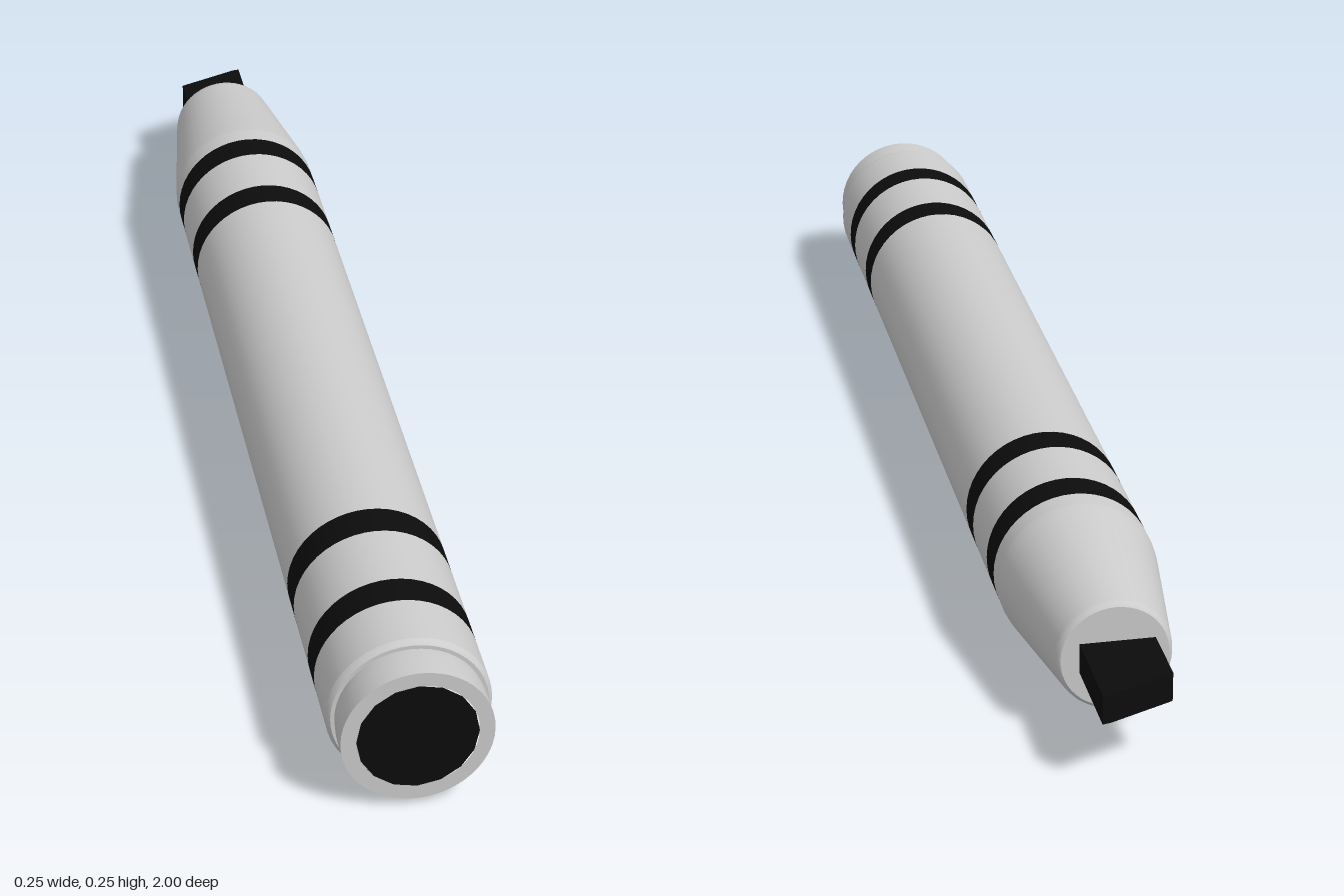
import * as THREE from 'three';

const AXIS_Y = 0.124, R = 0.123, SIDES = 48;
const grey = new THREE.MeshStandardMaterial({ color: 0xcccccc });
const black = new THREE.MeshStandardMaterial({ color: 0x0c0c0c });

export function createModel() {
  const marker = new THREE.Group();
  marker.name = 'marker';

  // Turned part along z; profile pairs are [radius, z] with z increasing.
  const turned = (name, material, profile) => {
    const points = profile.map(([r, z]) => new THREE.Vector2(r, z));
    const geometry = new THREE.LatheGeometry(points, SIDES).rotateX(Math.PI / 2);
    const mesh = new THREE.Mesh(geometry, material);
    mesh.name = name;
    mesh.position.y = AXIS_Y;
    marker.add(mesh);
  };

  // Barrel: grey lengths alternating with black bands
  const cuts = [-0.59, -0.555, -0.5, -0.388, -0.332, 0.604, 0.662, 0.785, 0.838, 0.93];
  for (let i = 0; i < cuts.length - 1; i++) {
    const isBand = i % 2 === 1;
    turned(isBand ? 'band' : 'barrel', isBand ? black : grey, [[R, cuts[i]], [R, cuts[i + 1]]]);
  }

  // Tapered nose with a small rounded rim and flat end
  turned('nose', grey, [[0.081, -0.845], [0.086, -0.841], [0.088, -0.832], [0.121, -0.61], [R, -0.59]]);
  turned('noseEnd', grey, [[0, -0.845], [0.081, -0.845]]);

  // Shoulder and stepped end plug
  turned('shoulder', grey, [[R, 0.93], [0.121, 0.936], [0.117, 0.94]]);
  turned('shoulderStep', grey, [[0.117, 0.94], [0.111, 0.94]]);
  turned('endPlug', grey, [[0.111, 0.94], [0.113, 0.96], [0.113, 1]]);
  turned('endRing', grey, [[0.113, 1], [0.09, 1]]);

  // Dark disc in the end plug
  const disc = new THREE.Mesh(new THREE.CircleGeometry(0.09, 16), black);
  disc.name = 'endDisc';
  disc.position.set(0, AXIS_Y, 1);
  marker.add(disc);

  // Chisel nib: slanted outline in x and z, extruded upward
  const outline = new THREE.Shape([
    new THREE.Vector2(-0.06, 0.82), new THREE.Vector2(0.053, 0.82),
    new THREE.Vector2(0.053, 1), new THREE.Vector2(0.04, 0.997), new THREE.Vector2(-0.06, 0.953),
  ]);
  const nib = new THREE.Mesh(
    new THREE.ExtrudeGeometry(outline, { depth: 0.046, bevelEnabled: false }).rotateX(-Math.PI / 2), black);
  nib.name = 'nib';
  nib.position.y = 0.104;
  marker.add(nib);

  return marker;
}
